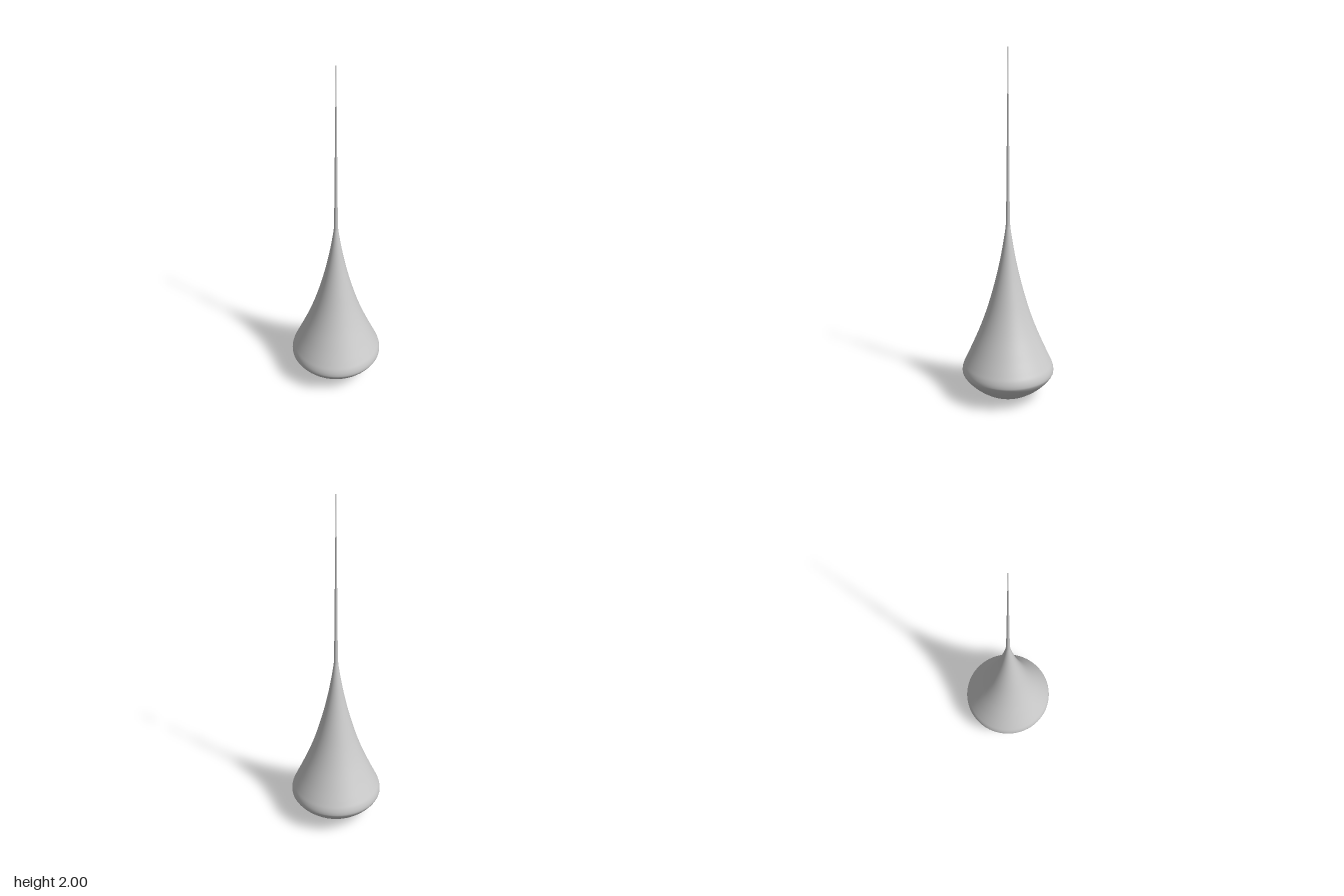
import * as THREE from 'three';

export function createModel() {
  const group = new THREE.Group();
  const material = new THREE.MeshStandardMaterial({ color: 0xcccccc });

  // Smooth surface of revolution through [radius, height] points
  function turned(name, points, samples) {
    const curve = new THREE.SplineCurve(points.map(([r, y]) => new THREE.Vector2(r, y)));
    const profile = curve.getPoints(samples);
    profile.forEach((p) => { p.x = Math.max(p.x, 0); });
    const mesh = new THREE.Mesh(new THREE.LatheGeometry(profile, 64), material);
    mesh.name = name;
    group.add(mesh);
  }

  // Drop-shaped body: shallow rounded base, full belly, concave shoulders
  turned('dropBody', [
    [0, 0], [0.06, 0.007], [0.12, 0.028], [0.18, 0.066], [0.226, 0.108],
    [0.25, 0.14], [0.255, 0.16], [0.25, 0.187], [0.235, 0.222], [0.2, 0.3],
    [0.158, 0.4], [0.122, 0.5], [0.092, 0.6], [0.066, 0.7], [0.044, 0.8],
    [0.026, 0.9], [0.014, 0.98], [0.012, 1.0],
  ], 90);

  // Long thin tail tapering to a point
  turned('tail', [
    [0.012, 1.0], [0.009, 1.15], [0.0075, 1.35], [0.005, 1.55],
    [0.0035, 1.75], [0.002, 1.9], [0, 2],
  ], 30);

  return group;
}
